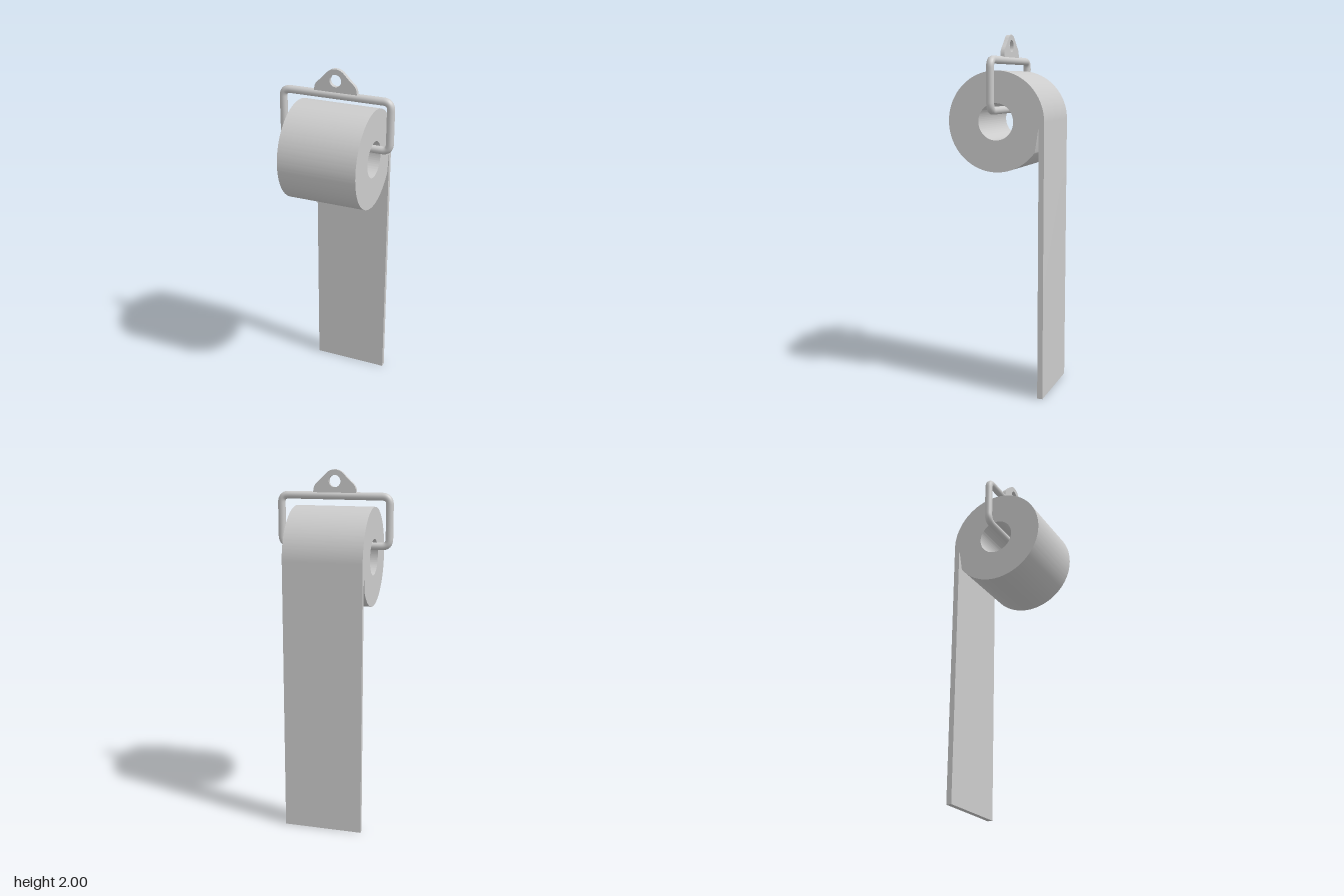
import * as THREE from 'three';
import { toCreasedNormals } from 'three/addons/utils/BufferGeometryUtils.js';

const material = new THREE.MeshStandardMaterial({ color: 0xcccccc });

function addMesh(group, name, geometry) {
  const mesh = new THREE.Mesh(geometry, material);
  mesh.name = name;
  group.add(mesh);
  return mesh;
}

function extrude(shape, depth, curveSegments) {
  const geometry = new THREE.ExtrudeGeometry(shape, { depth, curveSegments, bevelEnabled: false });
  geometry.translate(0, 0, -depth / 2);
  return toCreasedNormals(geometry, 0.5);
}

function circleHole(x, y, r) {
  const path = new THREE.Path();
  path.absarc(x, y, r, 0, Math.PI * 2, true);
  return path;
}

// Side profile: the roll and its hanging sheet, with a thin wedge between them
function paperShape() {
  const r = 0.273, y = 1.53, thickness = 0.03;
  const shape = new THREE.Shape();
  shape.moveTo(r, y);
  shape.absarc(0, y, r, 0, Math.PI * 2 - 0.622, false);
  shape.lineTo(r - thickness, 1.51);
  shape.lineTo(r - thickness, 0);
  shape.lineTo(r, 0);
  shape.closePath();
  shape.holes.push(circleHole(0, y, 0.1));
  return shape;
}

// Closed rectangular loop of wire with rounded corners
function framePath(halfWidth, bottom, top, corner) {
  const path = new THREE.CurvePath();
  const corners = [[-1, bottom], [1, bottom], [1, top], [-1, top]]
    .map(([s, y]) => new THREE.Vector3(s * halfWidth, y, 0));
  const toward = (a, b) => b.clone().sub(a).setLength(corner).add(a);
  corners.forEach((c, i) => {
    const next = corners[(i + 1) % 4], after = corners[(i + 2) % 4];
    path.add(new THREE.LineCurve3(toward(c, next), toward(next, c)));
    path.add(new THREE.QuadraticBezierCurve3(toward(next, c), next, toward(next, after)));
  });
  return path;
}

// Hanging tab with a screw hole
function tabShape() {
  const shape = new THREE.Shape();
  shape.moveTo(-0.122, 1.865);
  shape.lineTo(0.122, 1.865);
  shape.lineTo(0.12, 1.89);
  shape.quadraticCurveTo(0.117, 1.918, 0.09, 1.937);
  shape.lineTo(0.052, 1.975);
  shape.bezierCurveTo(0.025, 2.008, -0.025, 2.008, -0.052, 1.975);
  shape.lineTo(-0.09, 1.937);
  shape.quadraticCurveTo(-0.117, 1.918, -0.12, 1.89);
  shape.closePath();
  shape.holes.push(circleHole(0, 1.938, 0.033));
  return shape;
}

export function createModel() {
  const group = new THREE.Group();
  group.name = 'paperRollHolder';

  const paper = addMesh(group, 'paperRoll', extrude(paperShape(), 0.442, 96));
  paper.rotation.y = Math.PI / 2;

  const frame = framePath(0.306, 1.591, 1.859, 0.042);
  const wire = addMesh(group, 'wireFrame', new THREE.TubeGeometry(frame, 240, 0.021, 16, true));
  wire.position.z = -0.002;

  const tab = addMesh(group, 'hangingTab', extrude(tabShape(), 0.023, 24));
  tab.position.z = -0.002;

  return group;
}
